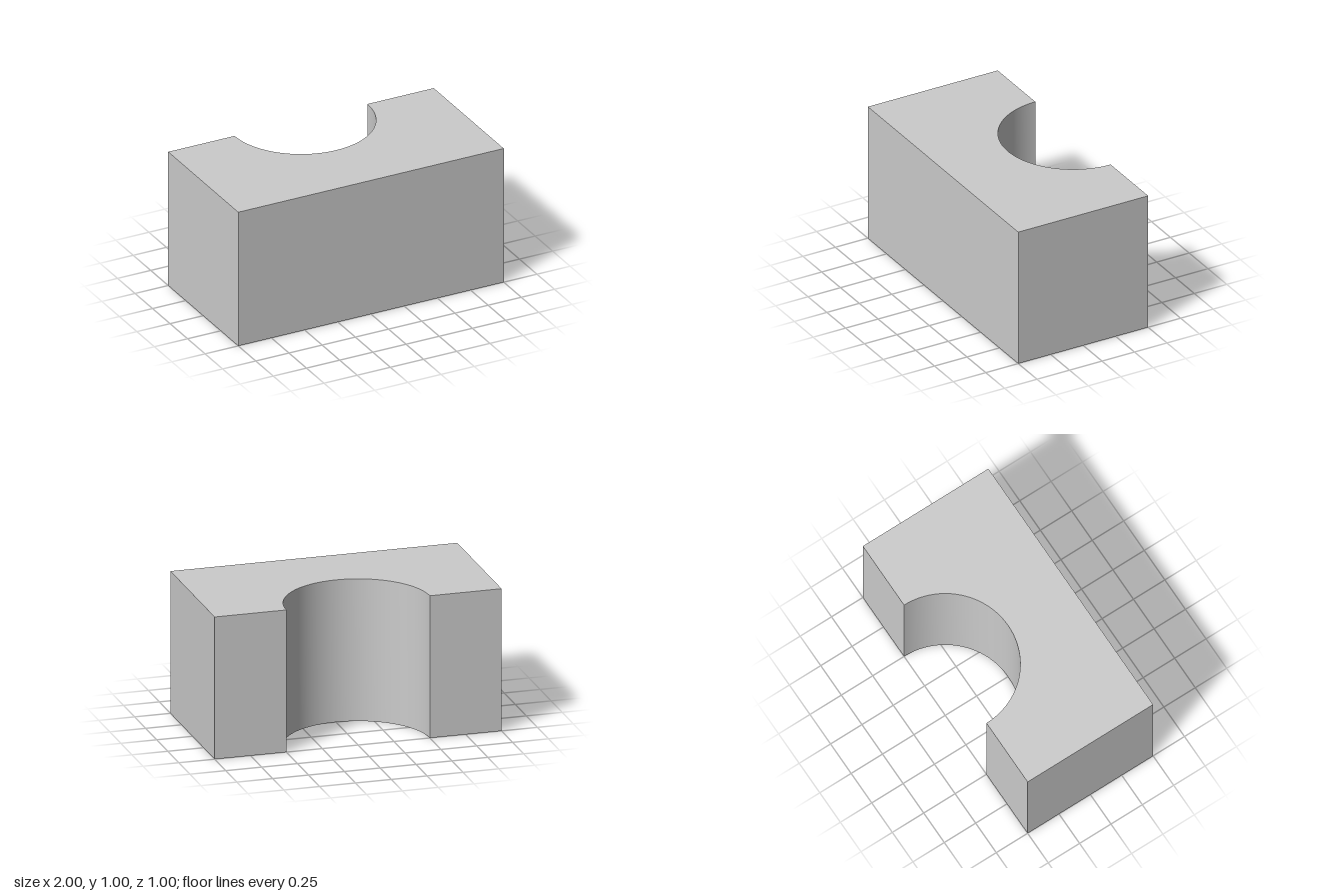
import * as THREE from 'three';
import { toCreasedNormals } from 'three/addons/utils/BufferGeometryUtils.js';

const HALF_WIDTH = 1, HALF_DEPTH = 0.5, HEIGHT = 1, NOTCH_RADIUS = 0.5;

export function createModel() {
  const group = new THREE.Group();
  group.name = 'notchedBlock';

  // Plan outline (shape +y is the back), with a half-round notch in the back edge
  const plan = new THREE.Shape();
  plan.moveTo(-HALF_WIDTH, -HALF_DEPTH);
  plan.lineTo(HALF_WIDTH, -HALF_DEPTH);
  plan.lineTo(HALF_WIDTH, HALF_DEPTH);
  plan.lineTo(NOTCH_RADIUS, HALF_DEPTH);
  plan.absarc(0, HALF_DEPTH, NOTCH_RADIUS, 0, -Math.PI, true);
  plan.lineTo(-HALF_WIDTH, HALF_DEPTH);
  plan.closePath();

  // Extrude upwards; smooth notch wall, sharp block edges
  const solid = new THREE.ExtrudeGeometry(plan, { depth: HEIGHT, bevelEnabled: false, curveSegments: 48 });
  solid.rotateX(-Math.PI / 2);

  const block = new THREE.Mesh(
    toCreasedNormals(solid, Math.PI / 6),
    new THREE.MeshStandardMaterial({ color: 0xcccccc })
  );
  block.name = 'block';
  group.add(block);
  return group;
}
